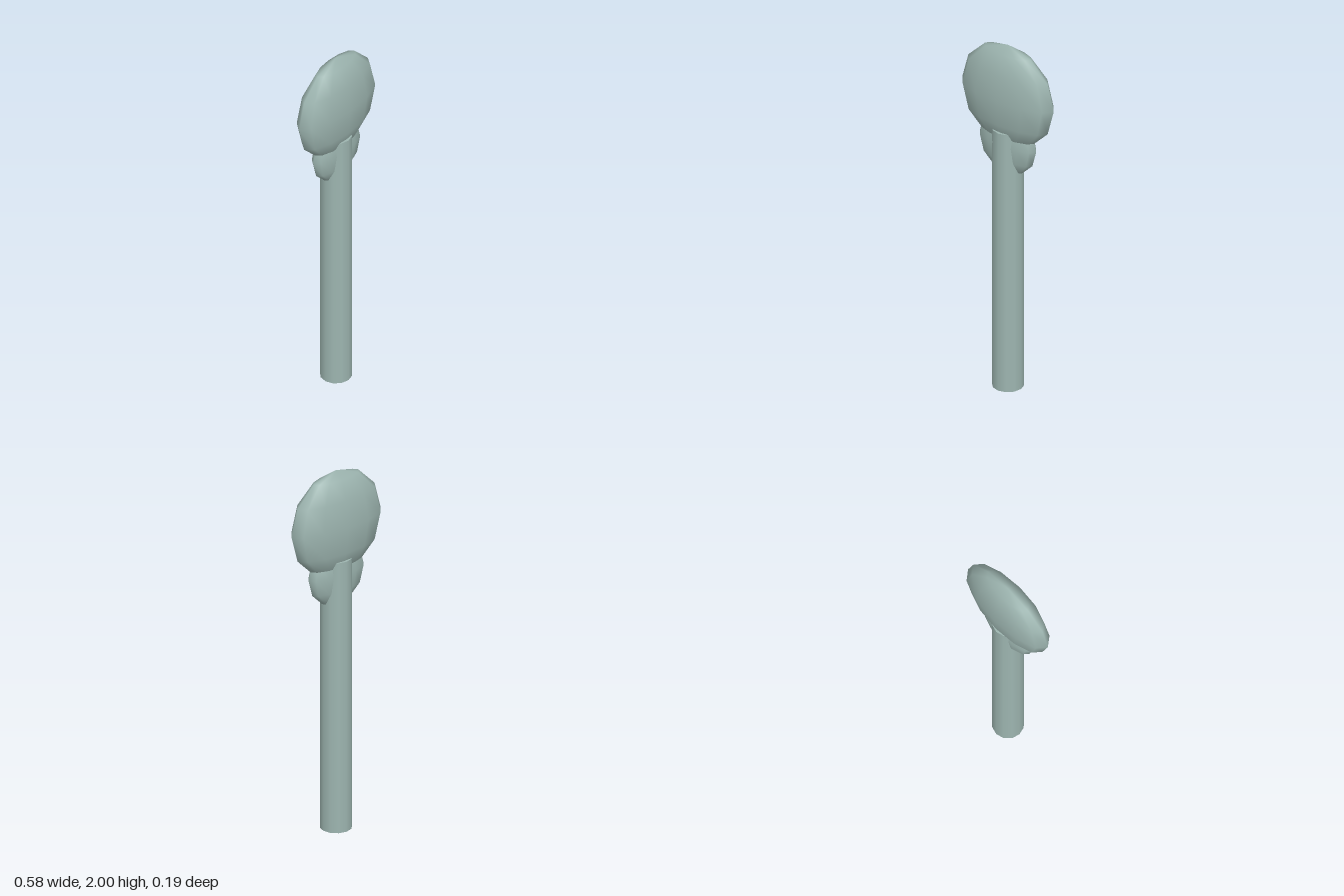
import * as THREE from 'three';

const stoneGreen = new THREE.MeshStandardMaterial({ color: 0x9db5b0 });
stoneGreen.name = 'grey green';

function addPart(group, name, geometry, y) {
  const mesh = new THREE.Mesh(geometry, stoneGreen);
  mesh.name = name;
  mesh.position.y = y;
  group.add(mesh);
  return mesh;
}

// Low-sided sphere flattened front to back
function addFlatBall(group, name, radius, y) {
  addPart(group, name, new THREE.SphereGeometry(radius, 12, 6), y).scale.z = 1 / 3;
}

export function createModel() {
  const model = new THREE.Group();
  model.name = 'roundHeadedPost';

  // Straight round shaft, rising a little way into the head
  const shaftHeight = 1.515;
  addPart(model, 'shaft', new THREE.CylinderGeometry(0.083, 0.083, shaftHeight, 12), shaftHeight / 2);

  // Large disc-like head and the smaller collar beneath it
  addFlatBall(model, 'head', 0.292, 1.708);
  addFlatBall(model, 'collar', 0.18, 1.43);

  return model;
}
